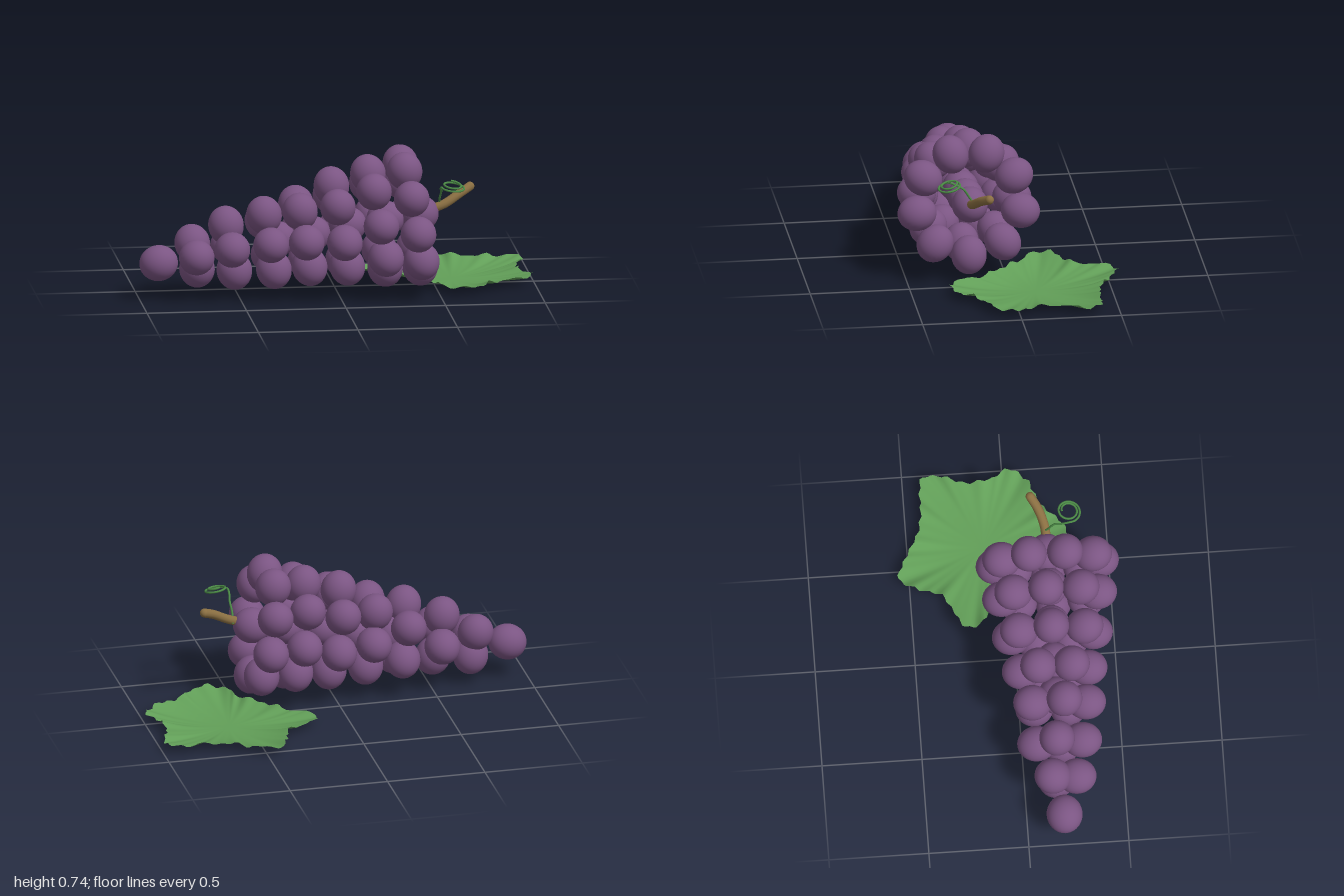
import * as THREE from 'three';

const mat = (name, color, side = THREE.FrontSide) => {
  const m = new THREE.MeshStandardMaterial({ color, side });
  m.name = name;
  return m;
};

export function createModel() {
  const model = new THREE.Group();
  model.name = 'grapeBunch';
  const purple = mat('grapePurple', 0x7b5583);
  const green = mat('leafGreen', 0x629f58, THREE.DoubleSide);
  const tendrilGreen = mat('tendrilGreen', 0x4b8a46);
  const brown = mat('stemBrown', 0x8a6f42);

  const add = (parent, geometry, material, name) => {
    const mesh = new THREE.Mesh(geometry, material);
    mesh.name = name;
    parent.add(mesh);
    return mesh;
  };

  // Grapes: tilted rings that widen from the tip to the stem, each around a core grape
  const berry = new THREE.SphereGeometry(1, 28, 20);
  const axisZ = 0.185, tilt = 0.17;
  // x, y, ring radius, grape count, angle of the first grape from the bottom
  const rings = [
    [-0.72, 0.215, 0.075, 3, 98],
    [-0.545, 0.255, 0.115, 4, 7],
    [-0.355, 0.285, 0.147, 5, 22],
    [-0.18, 0.308, 0.166, 6, 30],
    [0.0, 0.35, 0.21, 7, 27.5],
    [0.19, 0.375, 0.24, 8, 5],
    [0.363, 0.397, 0.264, 9, 1],
  ];
  rings.forEach(([x, y, radius, count, start], i) => {
    const ring = new THREE.Group();
    ring.name = `grapeRing${i + 1}`;
    ring.position.set(x, y, axisZ);
    ring.rotation.z = tilt;
    model.add(ring);
    for (let k = 0; k < count; k++) {
      const pivot = new THREE.Group();
      pivot.name = 'grapePivot';
      pivot.rotation.x = -THREE.MathUtils.degToRad(start + (k * 360) / count);
      ring.add(pivot);
      const grape = add(pivot, berry, purple, 'grape');
      grape.position.y = -radius;
      grape.scale.set(0.089, 0.098, 0.089);
    }
    if (i > 1) {
      const core = add(ring, berry, purple, 'coreGrape');
      core.position.x = 0.045;
      core.scale.set(0.095, 0.09, 0.09);
    }
  });
  const tip = add(model, berry, purple, 'tipGrape');
  tip.position.set(-0.904, 0.186, axisZ);
  tip.rotation.z = tilt;
  tip.scale.set(0.097, 0.09, 0.09);

  // Stem: short bent rod with a rounded end
  const stemPath = new THREE.CatmullRomCurve3([
    new THREE.Vector3(0.44, 0.42, 0.19),
    new THREE.Vector3(0.53, 0.45, 0.183),
    new THREE.Vector3(0.61, 0.495, 0.155),
    new THREE.Vector3(0.667, 0.523, 0.12),
  ]);
  add(model, new THREE.TubeGeometry(stemPath, 16, 0.023, 12), brown, 'stem');
  const cap = add(model, new THREE.SphereGeometry(0.023, 12, 8), brown, 'stemEnd');
  cap.position.copy(stemPath.getPoint(1));
  cap.scale.setScalar(0.99);

  // Tendril: rises from the stem base and winds into a flat curl
  const curl = [[0.51, 0.43, 0.165], [0.505, 0.48, 0.2], [0.51, 0.525, 0.23], [0.503, 0.545, 0.265]]
    .map((p) => new THREE.Vector3(...p));
  for (let k = 0; k <= 22; k++) {
    const a = (k / 22) * Math.PI * 3.6, r = 0.06 - 0.026 * (k / 22);
    curl.push(new THREE.Vector3(
      0.562 - r * Math.cos(a), 0.556 + 0.022 * (k / 22) + 0.01 * Math.sin(a + 2.5), 0.305 + r * Math.sin(a)));
  }
  add(model, new THREE.TubeGeometry(new THREE.CatmullRomCurve3(curl), 120, 0.0055, 8), tendrilGreen, 'tendril');

  // Leaf: lobed outline filled by concentric loops, dished with a ruffled rim
  const outline = new THREE.CatmullRomCurve3([
    [0.17, -0.235], [0.26, -0.29], [0.35, -0.35], [0.385, -0.46], [0.445, -0.55], [0.565, -0.505],
    [0.685, -0.44], [0.78, -0.42], [0.97, -0.4], [0.98, -0.32], [0.935, -0.19], [0.95, -0.05],
    [0.992, 0.03], [0.925, 0.125], [0.86, 0.15], [0.77, 0.2], [0.7, 0.275], [0.6, 0.31],
    [0.525, 0.26], [0.49, 0.15], [0.41, 0.06], [0.34, -0.02], [0.265, -0.1], [0.19, -0.15],
  ].map(([x, z]) => new THREE.Vector3(x, 0, z)), true, 'centripetal');
  const cx = 0.6, cz = -0.12, segments = 144, loops = 12;
  const rim = outline.getSpacedPoints(segments);
  const positions = [cx, 0.002, cz], index = [];
  for (let j = 1; j <= loops; j++) {
    const t = j / loops;
    for (let i = 0; i < segments; i++) {
      const a = (i / segments) * Math.PI * 2;
      const ruffle = Math.sin(a * 17) * 0.6 + Math.sin(a * 29 + 1) * 0.4;
      const s = t * (1 + 0.018 * t ** 4 * Math.sin(a * 36));
      positions.push(
        cx + (rim[i].x - cx) * s,
        0.002 + 0.046 * t ** 2.6 + 0.011 * t ** 3 * ruffle,
        cz + (rim[i].z - cz) * s);
      const n = (i + 1) % segments, b = 1 + (j - 1) * segments;
      if (j === 1) index.push(0, b + n, b + i);
      else {
        const p = b - segments;
        index.push(p + i, p + n, b + i, p + n, b + n, b + i);
      }
    }
  }
  const leaf = new THREE.BufferGeometry();
  leaf.setAttribute('position', new THREE.Float32BufferAttribute(positions, 3));
  // The outline runs clockwise from above, so flip each face to look up
  for (let k = 0; k < index.length; k += 3) {
    const [a, b, c] = index.slice(k, k + 3).map((v) => v * 3);
    const up = (positions[b + 2] - positions[a + 2]) * (positions[c] - positions[a])
      - (positions[b] - positions[a]) * (positions[c + 2] - positions[a + 2]);
    if (up < 0) [index[k + 1], index[k + 2]] = [index[k + 2], index[k + 1]];
  }
  leaf.setIndex(index);
  leaf.computeVertexNormals();
  add(model, leaf, green, 'leaf');

  return model;
}
